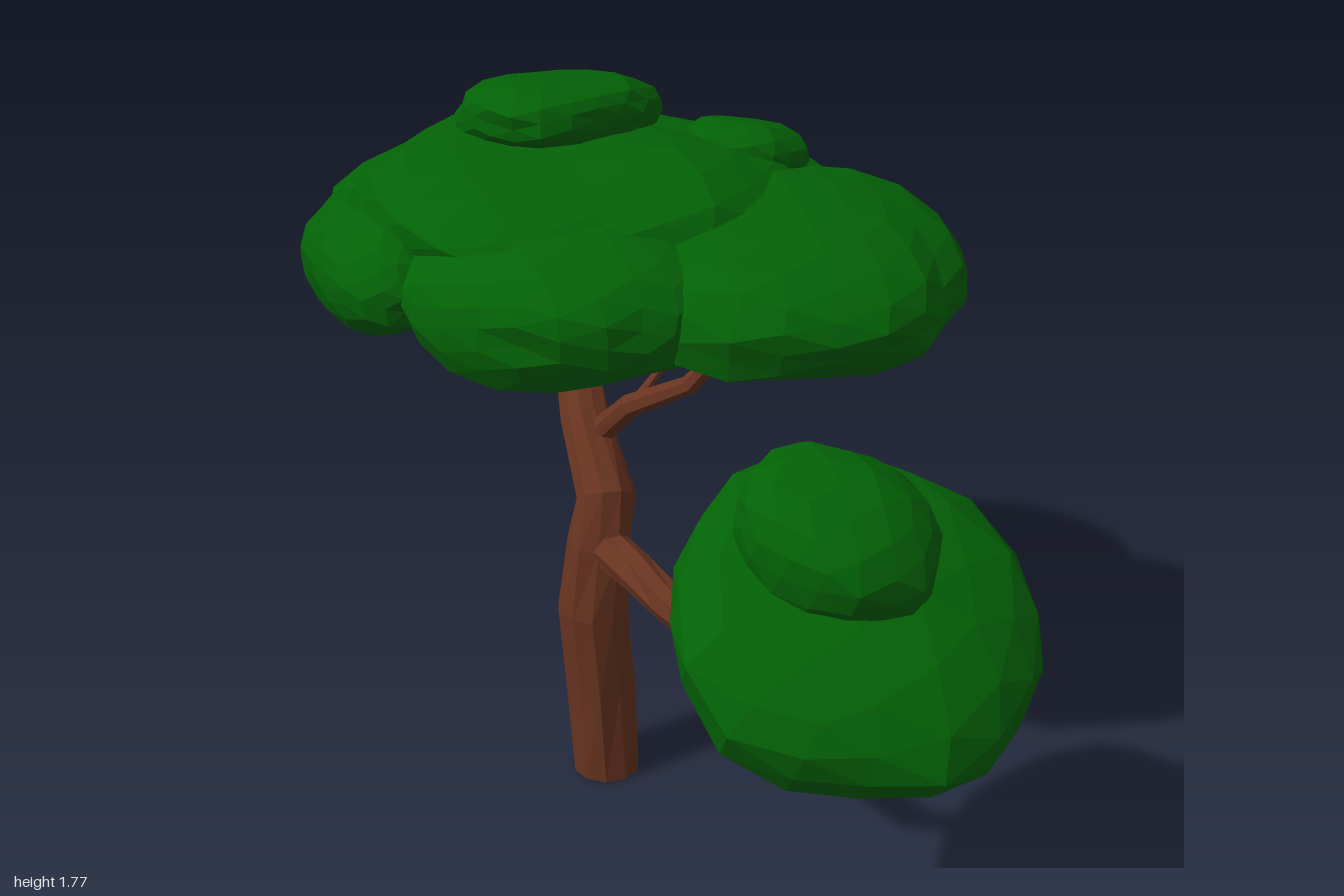
import * as THREE from 'three';

const bark = new THREE.MeshStandardMaterial({ color: 0x683420 });
bark.name = 'bark brown';
const leaf = new THREE.MeshStandardMaterial({ color: 0x036206 });
leaf.name = 'leaf green';

const UP = new THREE.Vector3(0, 1, 0);

// Lumpy, faceted cushion of leaves: a flattened ball turned by "yaw", then tilted so its axis follows "tilt"
function foliage(name, centre, radii, tilt, detail, seed, yaw = 0) {
  const geometry = new THREE.IcosahedronGeometry(1, detail);
  const pos = geometry.attributes.position;
  const turn = new THREE.Quaternion().setFromUnitVectors(UP, new THREE.Vector3(...tilt).normalize());
  turn.multiply(new THREE.Quaternion().setFromAxisAngle(UP, yaw));
  const p = new THREE.Vector3();
  for (let i = 0; i < pos.count; i++) {
    p.fromBufferAttribute(pos, i).normalize();
    const n = p.y < 0 ? 3.1 : 2.25; // domed top, flatter underside
    const bulge = (Math.hypot(p.x, p.z) ** n + Math.abs(p.y) ** n) ** (-1 / n);
    const lump = 0.03 * Math.sin(5 * p.x + 3 * p.y + seed) + 0.025 * Math.sin(6 * p.z - 4 * p.x + 2 * seed)
      + 0.02 * Math.sin(11 * p.y + 9 * p.z + 3 * seed);
    p.multiplyScalar(bulge * (1 + lump) * 0.99);
    p.set(p.x * radii[0], p.y * radii[1], p.z * radii[2]).applyQuaternion(turn);
    pos.setXYZ(i, p.x, p.y, p.z);
  }
  geometry.computeVertexNormals();
  const mesh = new THREE.Mesh(geometry, leaf);
  mesh.name = name;
  mesh.position.set(...centre);
  return mesh;
}

// Tapering faceted limb through stations [x, y, z, radius], closed at both ends
function limb(name, stations, sides = 8) {
  const points = stations.map((s) => new THREE.Vector3(s[0], s[1], s[2]));
  const last = points.length - 1;
  const vertices = [];
  const index = [];
  const ref = new THREE.Vector3(0.3, 0, 1).normalize();
  points.forEach((c, i) => {
    const along = points[Math.min(i + 1, last)].clone().sub(points[Math.max(i - 1, 0)]).normalize();
    if (i === 0 && c.y === 0) along.copy(UP); // flat foot
    const u = ref.clone().addScaledVector(along, -ref.dot(along)).normalize();
    const v = along.clone().cross(u);
    for (let k = 0; k < sides; k++) {
      const a = (k / sides) * Math.PI * 2;
      const r = stations[i][3] * (1 + (i ? 0.06 * Math.sin(k * 2.3 + i * 1.7) : 0));
      const q = c.clone().addScaledVector(u, r * Math.cos(a)).addScaledVector(v, r * Math.sin(a));
      vertices.push(q.x, q.y, q.z);
    }
  });
  for (let i = 0; i < last; i++) {
    for (let k = 0; k < sides; k++) {
      const a = i * sides + k, b = i * sides + (k + 1) % sides;
      index.push(a, b, b + sides, a, b + sides, a + sides);
    }
  }
  for (let k = 1; k < sides - 1; k++) {
    index.push(0, k + 1, k);
    index.push(last * sides, last * sides + k, last * sides + k + 1);
  }
  const indexed = new THREE.BufferGeometry();
  indexed.setAttribute('position', new THREE.Float32BufferAttribute(vertices, 3));
  indexed.setIndex(index);
  const geometry = indexed.toNonIndexed();
  geometry.computeVertexNormals();
  const mesh = new THREE.Mesh(geometry, bark);
  mesh.name = name;
  return mesh;
}

export function createModel() {
  const tree = new THREE.Group();
  tree.name = 'tree';

  // Trunk, bending back and to the right as it rises
  const wood = new THREE.Group();
  wood.name = 'wood';
  wood.add(
    limb('trunk', [
      [-0.19, 0, -0.005, 0.087], [-0.2, 0.25, 0, 0.087], [-0.215, 0.48, 0.01, 0.09],
      [-0.2, 0.66, 0, 0.08], [-0.19, 0.78, -0.03, 0.074], [-0.28, 0.93, -0.15, 0.06],
      [-0.375, 1.11, -0.33, 0.052], [-0.42, 1.22, -0.42, 0.046],
    ], 10),
    // Long low branch that carries the small canopy
    limb('lowBranch', [
      [-0.2, 0.67, 0, 0.055], [-0.09, 0.645, 0.08, 0.051], [0.05, 0.622, 0.2, 0.046],
      [0.26, 0.655, 0.42, 0.042], [0.4, 0.75, 0.47, 0.036], [0.48, 0.84, 0.52, 0.028],
    ]),
    limb('lowTwig', [[0.33, 0.7, 0.43, 0.018], [0.46, 0.668, 0.53, 0.014], [0.62, 0.695, 0.56, 0.01]], 6),
    // Upper branches under the main canopy
    limb('leftBranch', [
      [-0.25, 0.89, -0.13, 0.036], [-0.13, 1.02, -0.06, 0.03], [0.03, 1.11, -0.02, 0.024], [0.14, 1.25, 0, 0.016],
    ], 7),
    limb('leftTwig', [[-0.12, 1.03, -0.05, 0.015], [-0.08, 1.09, -0.13, 0.012], [-0.075, 1.23, -0.19, 0.009]], 6),
    limb('rightBranch', [[-0.33, 1.01, -0.22, 0.026], [-0.45, 1.06, -0.12, 0.02], [-0.56, 1.22, -0.06, 0.012]], 6),
    limb('backTwig', [[-0.36, 1.06, -0.28, 0.016], [-0.36, 1.035, -0.43, 0.013], [-0.38, 1.13, -0.54, 0.01]], 6),
  );

  // Main canopy of overlapping cushions
  const canopy = new THREE.Group();
  canopy.name = 'mainCanopy';
  canopy.add(
    foliage('crownCushion', [-0.345, 1.42, -0.31], [0.6, 0.225, 0.59], [0, 1, -0.04], 4, 1),
    foliage('underCushion', [-0.45, 1.3, -0.43], [0.45, 0.175, 0.41], [-0.02, 1, -0.13], 3, 3),
    foliage('leftCushion', [0.21, 1.375, -0.21], [0.43, 0.17, 0.5], [0.1, 1, 0.03], 3, 4),
    foliage('frontCushion', [-0.24, 1.38, 0.14], [0.38, 0.165, 0.3], [0, 1, 0.1], 3, 5),
    foliage('frontRightCushion', [-0.74, 1.38, 0.03], [0.17, 0.14, 0.33], [-0.08, 1, 0.05], 3, 6, 0.6),
    foliage('backCushion', [-0.14, 1.36, -0.73], [0.41, 0.165, 0.265], [0.05, 1, -0.16], 3, 7, -0.12),
    foliage('topCushion', [-0.42, 1.64, -0.42], [0.25, 0.1, 0.35], [-0.08, 1, -0.22], 3, 8),
    foliage('smallTopCushion', [0.02, 1.54, -0.54], [0.165, 0.08, 0.18], [0.1, 1, -0.2], 2, 9),
  );

  // Small tilted canopy at the end of the low branch
  const smallCanopy = new THREE.Group();
  smallCanopy.name = 'smallCanopy';
  smallCanopy.add(
    foliage('lowCushion', [0.565, 0.885, 0.58], [0.415, 0.16, 0.435], [0.42, 1, 0.36], 2, 10),
    foliage('lowTopCushion', [0.53, 1.09, 0.595], [0.23, 0.125, 0.21], [0.45, 1, 0.33], 2, 11),
  );

  tree.add(wood, canopy, smallCanopy);
  return tree;
}
